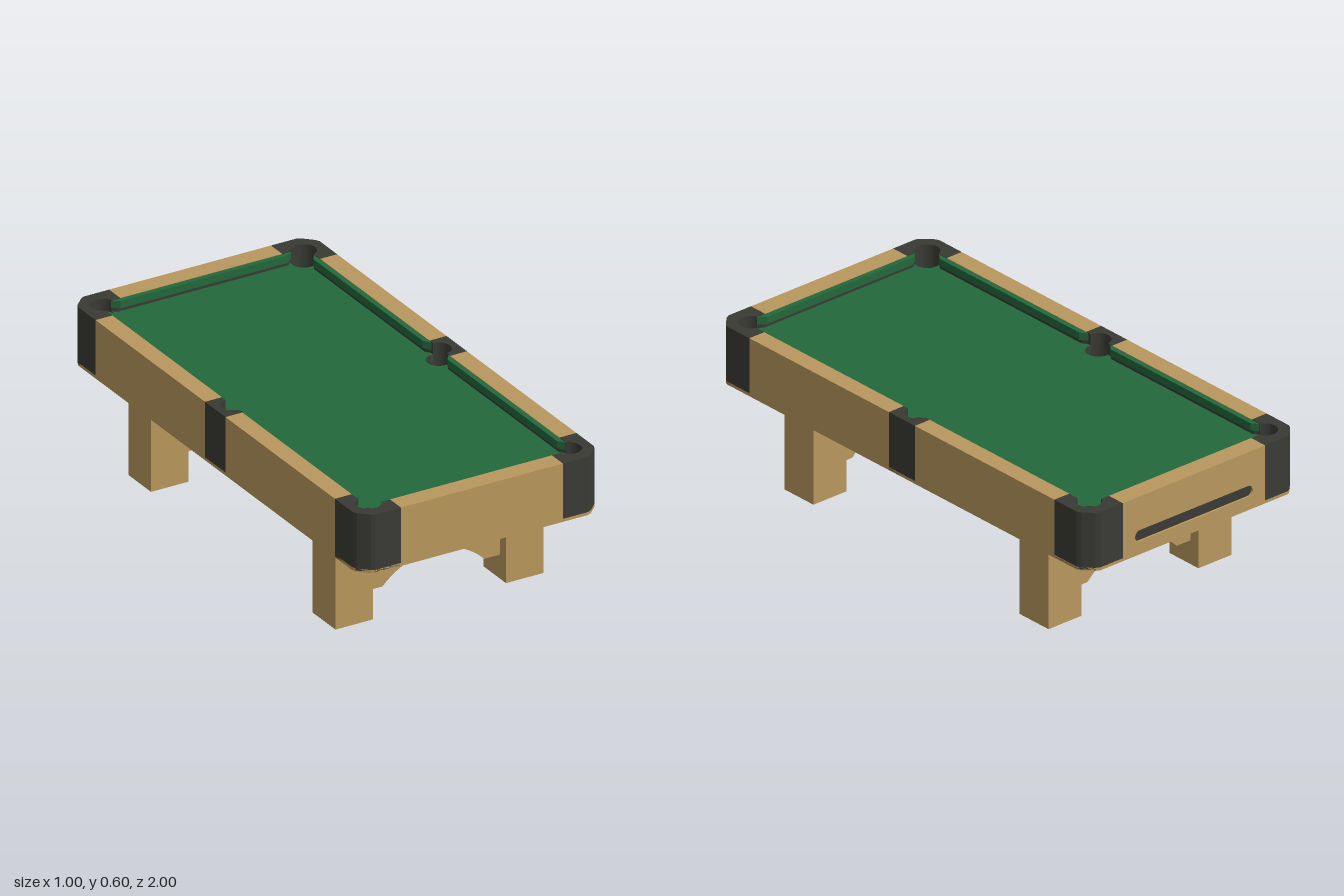
import * as THREE from 'three';

const wood = new THREE.MeshStandardMaterial({ color: 0xb9985d });
const cloth = new THREE.MeshStandardMaterial({ color: 0x22683c });
const black = new THREE.MeshStandardMaterial({ color: 0x3a3a35 });
const blackInside = new THREE.MeshStandardMaterial({ color: 0x3a3a35, side: THREE.DoubleSide });
wood.name = 'wood';
cloth.name = 'green cloth';
black.name = 'black trim';
blackInside.name = 'pocket lining';

// Main sizes: outer half width/length, inner edge of the rails, heights
const W = 0.5, L = 1, IX = 0.43, IZ = 0.925;
const TOP = 0.6, BASE = 0.37, BED = 0.555;
const R = 0.047, CX = 0.415, CZ = 0.908, SX = 0.425; // pockets

// Angles at which the pocket circles cross the rail edges
const cornerA = Math.atan2(-Math.sqrt(R * R - (IX - CX) ** 2), IX - CX);
const cornerB = Math.atan2(IZ - CZ, -Math.sqrt(R * R - (IZ - CZ) ** 2));
const sideA = Math.acos((IX - SX) / R);

const arc = (cx, cz, a, b, n = 20) => Array.from({ length: n + 1 }, (_, i) => {
  const t = a + (b - a) * i / n;
  return [cx + R * Math.cos(t), cz + R * Math.sin(t)];
});

const outlineShape = (pts) => new THREE.Shape(pts.map(([x, y]) => new THREE.Vector2(x, y)));
const flip = (pts, sx, sz) => pts.map(([x, z]) => [x * sx, z * sz]);

export function createModel() {
  const model = new THREE.Group();
  model.name = 'poolTable';

  const add = (name, geometry, material, x = 0, y = 0, z = 0) => {
    const mesh = new THREE.Mesh(geometry, material);
    mesh.name = name;
    mesh.position.set(x, y, z);
    model.add(mesh);
    return mesh;
  };
  const box = (name, material, x0, x1, y0, y1, z0, z1) => add(name,
    new THREE.BoxGeometry(x1 - x0, y1 - y0, z1 - z0), material,
    (x0 + x1) / 2, (y0 + y1) / 2, (z0 + z1) / 2);
  // Horizontal slab with an outline in x and z
  const slab = (name, material, pts, y0, y1) => {
    const g = new THREE.ExtrudeGeometry(outlineShape(pts), { depth: y1 - y0, bevelEnabled: false });
    g.rotateX(Math.PI / 2);
    return add(name, g, material, 0, y1, 0);
  };

  // Underside panel with cut corners
  const bevel = [[0.44, L], [0.456, 0.992], [0.492, 0.956], [W, 0.94]];
  slab('underside', wood, [
    ...bevel, ...flip(bevel, 1, -1).reverse(),
    ...flip(bevel, -1, -1), ...flip(bevel, -1, 1).reverse(),
  ], BASE - 0.002, BASE + 0.01);

  // Playing bed, notched by the six pockets
  const corner = arc(CX, CZ, cornerA, cornerB - 2 * Math.PI);
  const side = arc(SX, 0, -sideA, sideA - 2 * Math.PI);
  slab('bed', cloth, [
    ...side, ...corner, ...flip(corner, -1, 1).reverse(),
    ...flip(side, -1, -1), ...flip(corner, -1, -1), ...flip(corner, 1, -1).reverse(),
  ], BED - 0.03, BED);

  // Corner caps, side caps and pocket cups
  const cornerCap = [
    [0.335, L], ...bevel, [W, 0.82], [IX, 0.82],
    ...arc(CX, CZ, cornerA, cornerB), [0.335, IZ],
  ];
  const sideCap = [[IX, -0.07], ...arc(SX, 0, -sideA, sideA), [IX, 0.07], [W, 0.07], [W, -0.07]];
  const cup = (x, z) => {
    add('pocketCup', new THREE.CylinderGeometry(R, R, 0.12, 28, 1, true), blackInside, x, BED - 0.06, z);
    add('pocketFloor', new THREE.CylinderGeometry(R, R, 0.01, 28), black, x, BED - 0.12, z);
  };
  for (const sx of [1, -1]) {
    slab('sideCap', black, flip(sideCap, sx, 1), BASE + 0.002, TOP);
    cup(sx * SX, 0);
    for (const sz of [1, -1]) {
      slab('cornerCap', black, flip(cornerCap, sx, sz), BASE + 0.002, TOP);
      cup(sx * CX, sz * CZ);
    }
  }

  // Long wooden rails with cushions
  const longCushion = [[IX, 0.058], [0.41, 0.085], [0.41, 0.835], [IX, 0.862]];
  const longBacking = [[IX, 0.06], [0.416, 0.08], [0.416, 0.84], [IX, 0.86]];
  for (const sx of [1, -1]) for (const sz of [1, -1]) {
    slab('longRail', wood, flip([[IX, 0.07], [W, 0.07], [W, 0.82], [IX, 0.82]], sx, sz), BASE, TOP);
    slab('longCushion', cloth, flip(longCushion, sx, sz), BED + 0.014, TOP - 0.002);
    slab('longCushionBacking', black, flip(longBacking, sx, sz), BED - 0.01, BED + 0.014);
  }

  // End rails with cushions; the back one holds the ball return slot
  box('frontRail', wood, -0.335, 0.335, BASE, TOP, IZ, L);
  const backPanel = outlineShape([[-0.335, BASE], [0.335, BASE], [0.335, TOP], [-0.335, TOP]]);
  const slot = new THREE.Path();
  slot.absarc(0.255, 0.443, 0.022, -Math.PI / 2, Math.PI / 2, false);
  slot.absarc(-0.255, 0.443, 0.022, Math.PI / 2, Math.PI * 1.5, false);
  slot.closePath();
  backPanel.holes.push(slot);
  add('backRail', new THREE.ExtrudeGeometry(backPanel, { depth: L - IZ, bevelEnabled: false }), wood, 0, 0, -L);
  box('ballReturnSlot', black, -0.3, 0.3, 0.41, 0.476, -0.992, -0.93);

  const endCushion = [[-0.372, IZ], [-0.345, 0.905], [0.345, 0.905], [0.372, IZ]];
  const endBacking = [[-0.37, IZ], [-0.35, 0.911], [0.35, 0.911], [0.37, IZ]];
  for (const sz of [1, -1]) {
    slab('endCushion', cloth, flip(endCushion, 1, sz), BED + 0.014, TOP - 0.002);
    slab('endCushionBacking', black, flip(endBacking, 1, sz), BED - 0.01, BED + 0.014);
  }

  // Legs with round feet
  for (const sx of [1, -1]) for (const sz of [1, -1]) {
    const x = sx * 0.353, z = sz * 0.632;
    box('leg', wood, x - 0.078, x + 0.078, 0.015, BASE, z - 0.078, z + 0.078);
    add('foot', new THREE.CylinderGeometry(0.04, 0.04, 0.02, 28), black, x, 0.01, z);
  }

  // Arched aprons joining each pair of legs
  const apron = new THREE.Shape();
  const archR = 0.29, archY = -0.09, archA = Math.asin(0.2 / archR);
  apron.moveTo(-0.28, BASE);
  apron.lineTo(-0.28, 0.11);
  apron.absarc(0, archY, archR, Math.PI - Math.acos(0.21 / archR), Math.acos(0.21 / archR), true);
  apron.lineTo(0.28, 0.11);
  apron.lineTo(0.28, BASE);
  const apronGeometry = new THREE.ExtrudeGeometry(apron, { depth: 0.07, bevelEnabled: false, curveSegments: 32 });
  for (const sz of [1, -1]) add('apron', apronGeometry, wood, 0, 0, sz * 0.632 - 0.035);

  return model;
}
